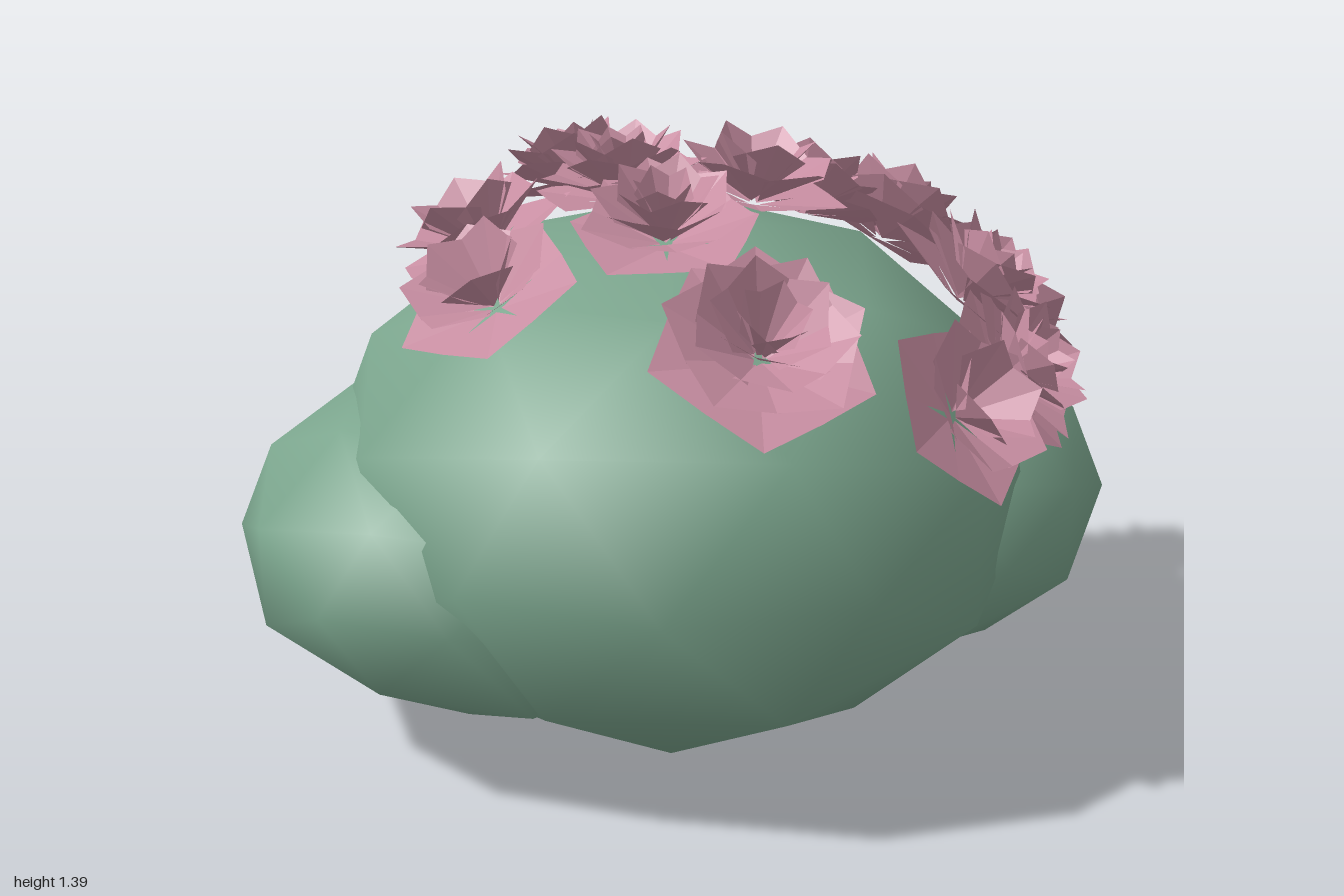
import * as THREE from 'three';

const leafGreen = new THREE.MeshStandardMaterial({ color: 0x7ba58d });
leafGreen.name = 'leafGreen';
const petalPink = new THREE.MeshStandardMaterial({ color: 0xc88ea2, side: THREE.DoubleSide, flatShading: true });
petalPink.name = 'petalPink';

// Low-poly smooth mound of foliage; reshapeZ gives the depth of each corner
function mound(name, [x, y, z], [rx, ry, rz], reshapeZ) {
  const geo = new THREE.IcosahedronGeometry(1, 1).rotateY(Math.PI / 2).scale(rx, ry, rz);
  if (reshapeZ) {
    const p = geo.attributes.position;
    for (let i = 0; i < p.count; i++) p.setZ(i, reshapeZ(p.getX(i), p.getZ(i)));
  }
  const mesh = new THREE.Mesh(geo, leafGreen);
  mesh.name = name;
  mesh.position.set(x, y, z);
  return mesh;
}

// Rings of petals from outside to inside: tilt in degrees, length, half width
const fullRings = [[9, 0.97, 0.52], [24, 0.94, 0.47], [39, 0.88, 0.42], [53, 0.82, 0.35], [68, 0.66, 0.26]];
const openRings = [[10, 0.97, 0.52], [32, 0.93, 0.46], [55, 0.84, 0.4]];

// Flower of unit radius opening along +y, made of pointed petals creased along the middle
function flowerGeometry(rings) {
  const points = [];
  rings.forEach(([tilt, length, half], ring) => {
    const t = THREE.MathUtils.degToRad(tilt);
    for (let k = 0; k < 5; k++) {
      const turn = (k + ring * 0.58) * Math.PI * 2 / 5;
      const place = (side, along, lift) => new THREE.Vector3(
        side,
        ring * 0.04 + along * Math.sin(t) + lift * Math.cos(t),
        0.06 + along * Math.cos(t) - lift * Math.sin(t)
      ).applyAxisAngle(new THREE.Vector3(0, 1, 0), turn);
      const base = place(0, 0, 0);
      const tip = place(0, length, 0);
      const left = place(-half, length * 0.64, 0.06);
      const right = place(half, length * 0.64, 0.06);
      for (const v of [base, right, tip, base, tip, left]) points.push(v.x, v.y, v.z);
    }
  });
  const geo = new THREE.BufferGeometry();
  geo.setAttribute('position', new THREE.Float32BufferAttribute(points, 3));
  geo.computeVertexNormals();
  return geo;
}

// Flower places: x, y, z, radius, full bloom or open
const flowers = [
  [-0.24, 1.15, -0.30, 0.21, 1],
  [-0.42, 1.09, -0.04, 0.22, 0],
  [-0.37, 1.08, 0.29, 0.21, 0],
  [-0.12, 1.20, -0.08, 0.21, 1],
  [0.16, 1.20, -0.08, 0.21, 0],
  [-0.02, 1.19, 0.19, 0.21, 1],
  [0.18, 1.05, 0.50, 0.24, 1],
  [0.27, 1.08, -0.39, 0.21, 0],
  [0.46, 1.00, -0.45, 0.22, 1],
  [0.58, 0.89, 0.38, 0.21, 0],
  [0.69, 0.89, 0.16, 0.21, 1],
  [0.62, 0.99, -0.05, 0.22, 1],
  [0.70, 0.86, -0.27, 0.22, 0],
];

export function createModel() {
  const model = new THREE.Group();
  model.name = 'floweringBush';

  // Main bush, fuller and blunter at the back
  model.add(mound('mainBush', [0, 0.6, 0], [0.82, 0.6, 0.805],
    (x, z) => (z < 0 ? Math.max(z * 1.085, -0.81) : z)));

  // Side bushes, the right one swelling towards the front of the main bush
  model.add(mound('rightBush', [-0.45, 0.49, 0.12], [0.55, 0.38, 0.54],
    (x, z) => (x > 0.01 && z > 0 ? z * 1.2 : z)));
  model.add(mound('leftBush', [0.45, 0.49, -0.18], [0.55, 0.38, 0.54]));

  // Flowers facing away from the surface of the main bush
  const full = flowerGeometry(fullRings), open = flowerGeometry(openRings);
  const up = new THREE.Vector3(0, 1, 0);
  flowers.forEach(([x, y, z, radius, isFull], i) => {
    const flower = new THREE.Mesh(isFull ? full : open, petalPink);
    flower.name = `flower${i + 1}`;
    const outward = new THREE.Vector3(x / 0.64, (y - 0.6) / 0.36, z / 0.64).normalize();
    flower.position.set(x, y, z).addScaledVector(outward, 0.01);
    flower.quaternion.setFromUnitVectors(up, outward);
    flower.rotateY(i * 1.9);
    flower.scale.setScalar(radius);
    model.add(flower);
  });

  return model;
}
